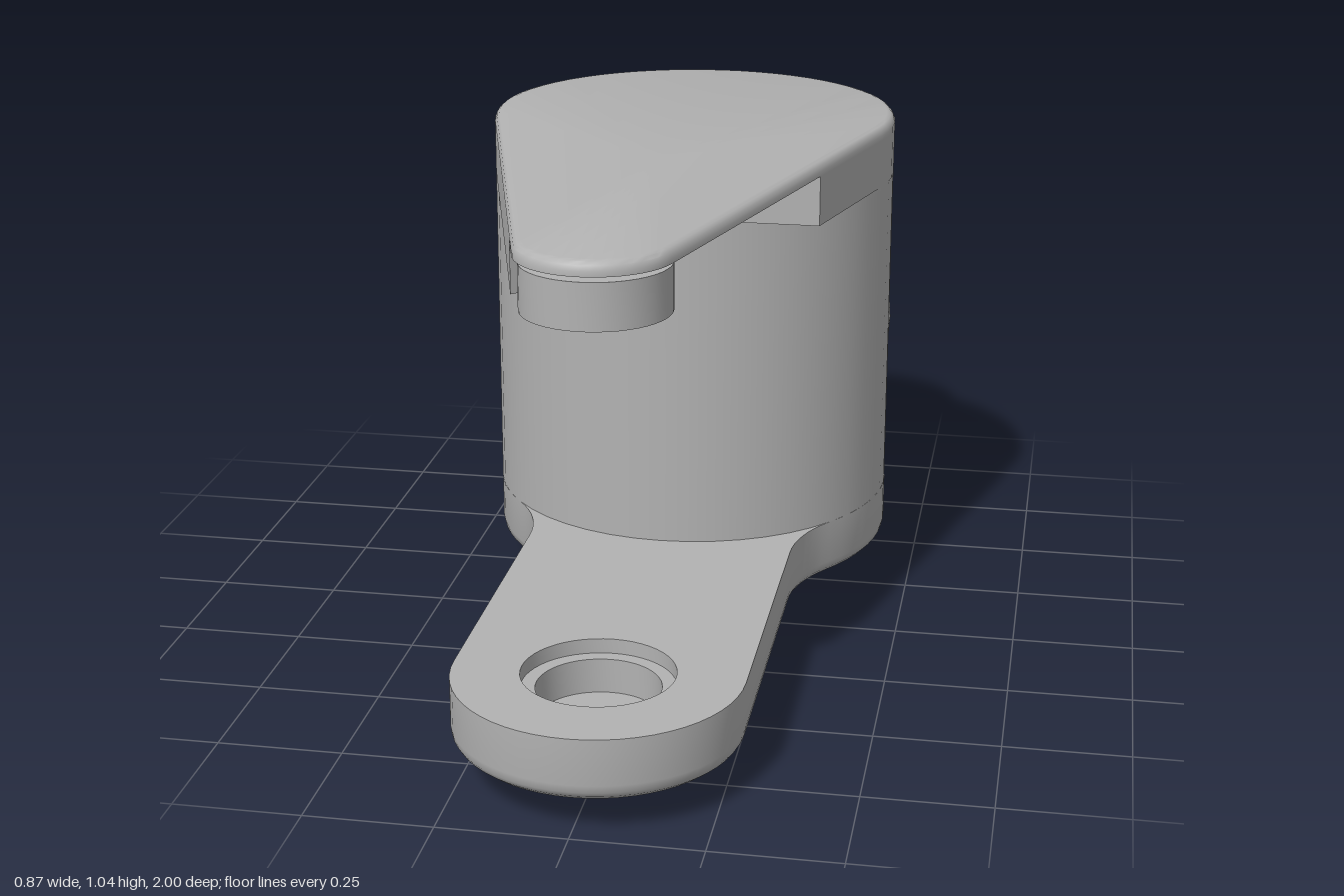
import * as THREE from 'three';
import { toCreasedNormals } from 'three/addons/utils/BufferGeometryUtils.js';

const BODY_Z = -0.37, BODY_R = 0.435; // main barrel
const TIP_Z = 0.71, TIP_R = 0.15; // nose of the cap
const PIN_Z = 0.72, TONGUE_R = 0.28; // rounded end of the base tongue
const MID_Y = 0.555; // axis of the rear neck
const SLANT = Math.asin((BODY_R - TIP_R) / (TIP_Z - BODY_Z));

// Points on an arc in plan; plan coordinates are (x, -z)
function arc(cx, cy, r, a0, a1, n) {
  return Array.from({ length: n + 1 }, (_, i) => {
    const a = a0 + ((a1 - a0) * i) / n;
    return new THREE.Vector2(cx + r * Math.cos(a), cy + r * Math.sin(a));
  });
}

// Skin over closed rings of equal point count, counter-clockwise about their axis
function loft(rings) {
  const n = rings[0].length, index = [];
  for (let k = 0; k < rings.length - 1; k++) {
    for (let i = 0; i < n; i++) {
      const j = (i + 1) % n, a = k * n + i, b = k * n + j;
      index.push(a, b, b + n, a, b + n, a + n);
    }
  }
  const geo = new THREE.BufferGeometry();
  geo.setAttribute('position', new THREE.Float32BufferAttribute(rings.flat(2), 3));
  geo.setIndex(index);
  return toCreasedNormals(geo, 0.6);
}

// Upright slab from a plan shape
function slab(shape, y0, y1) {
  const geo = new THREE.ExtrudeGeometry(shape, { depth: y1 - y0, bevelEnabled: false, curveSegments: 24 });
  geo.rotateX(-Math.PI / 2).translate(0, y0, 0);
  return toCreasedNormals(geo, 0.6);
}

function lathe(points, segments = 48) {
  return toCreasedNormals(new THREE.LatheGeometry(points.map(p => new THREE.Vector2(...p)), segments), 0.6);
}

function circleHole(x, y, r) {
  return new THREE.Path().absarc(x, y, r, 0, Math.PI * 2, true);
}

function teardrop(inset) {
  return [
    ...arc(0, -BODY_Z, BODY_R - inset, -SLANT, Math.PI + SLANT, 36),
    ...arc(0, -TIP_Z, TIP_R - inset, Math.PI + SLANT, 2 * Math.PI - SLANT, 20),
  ];
}

// Right half of the base outline from nose to back: { x, z, spine z }
function baseHalf() {
  const f = 0.3, cx = TONGUE_R + f;
  const dz = Math.sqrt((BODY_R + f) ** 2 - cx ** 2), cz = BODY_Z + dz;
  const sweep = Math.atan2(dz, cx), half = [];
  for (let i = 0; i <= 14; i++) {
    const a = (i / 14) * Math.PI / 2;
    half.push({ x: TONGUE_R * Math.sin(a), z: PIN_Z + TONGUE_R * Math.cos(a), s: PIN_Z });
  }
  for (let i = 1; i < 8; i++) {
    const z = PIN_Z + ((cz - PIN_Z) * i) / 8;
    half.push({ x: TONGUE_R, z, s: z });
  }
  for (let i = 0; i < 8; i++) {
    const a = (sweep * i) / 8;
    half.push({ x: cx - f * Math.cos(a), z: cz - f * Math.sin(a), s: cz + ((BODY_Z - cz) * i) / 8 });
  }
  for (let i = 0; i <= 24; i++) {
    const a = sweep - ((sweep + Math.PI / 2) * i) / 24;
    half.push({ x: BODY_R * Math.cos(a), z: BODY_Z + BODY_R * Math.sin(a), s: BODY_Z });
  }
  return half;
}

export function createModel() {
  const grey = new THREE.MeshStandardMaterial({ color: 0xb2b2b2, side: THREE.DoubleSide });
  grey.name = 'grey';
  const group = new THREE.Group();
  const add = (name, geo, x = 0, y = 0, z = 0) => {
    const mesh = new THREE.Mesh(geo, grey);
    mesh.name = name;
    mesh.position.set(x, y, z);
    group.add(mesh);
  };

  // Base: barrel foot with a tongue and a dished underside
  const half = baseHalf();
  const outline = [...half, ...half.slice(1, -1).reverse().map(p => ({ ...p, x: -p.x }))];
  const ring = (k, y) => outline.map(p => [p.x * k, y, p.s + (p.z - p.s) * k]);
  const dish = [0, 0.2, 0.4, 0.55, 0.7, 0.82, 0.92].map(k => ring(k, 0.085 * k * k));
  add('base', loft([...dish, ring(0.97, 0.083), ring(0.992, 0.093), ring(1, 0.108), ring(1, 0.2)]));

  // Flat top of the base, opened for the socket
  const topShape = new THREE.Shape(outline.map(p => new THREE.Vector2(p.x, -p.z)));
  topShape.holes.push(circleHole(0, -PIN_Z, 0.148));
  add('baseTop', new THREE.ShapeGeometry(topShape, 24).rotateX(-Math.PI / 2), 0, 0.2, 0);
  add('baseSocket', lathe([[0.148, 0.2], [0.148, 0.17], [0.12, 0.17], [0.12, 0.1], [0, 0.1]]), 0, 0, PIN_Z);

  // Barrel
  add('barrel', new THREE.CylinderGeometry(BODY_R, BODY_R, 0.71, 48, 1, true), 0, 0.555, BODY_Z);

  // Rear neck: a round mouth that widens into the barrel
  const neck = [[-0.97, 0.355], [-0.93, 0.35], [-0.86, 0.349], [-0.8, 0.355], [-0.74, 0.37],
    [-0.67, 0.392], [-0.58, 0.415], [-0.48, 0.43], [-0.38, 0.433]];
  add('neck', loft(neck.map(([z, rx]) =>
    arc(0, 0, 1, 0, 2 * Math.PI, 56).slice(0, -1).map(p => [p.x * rx, MID_Y + p.y * 0.352, z]))));
  const mouth = lathe([[0.34, 0.968], [0.358, 0.968], [0.358, 1], [0.11, 1], [0.11, 0.92], [0, 0.92]], 56);
  add('neckMouth', mouth.rotateX(-Math.PI / 2), 0, MID_Y, 0);

  // Cap plate with a softened top edge
  const capRing = (inset, y) => teardrop(inset).map(p => [p.x, y, -p.y]);
  const centre = y => capRing(0, y).map(() => [0, y, 0.1]);
  add('capPlate', loft([centre(1.012), capRing(0, 1.012), capRing(0, 1.022), capRing(0.004, 1.032),
    capRing(0.01, 1.038), capRing(0.018, 1.04), centre(1.04)]));

  // Cap skirt: thick over the barrel, running forward on one side only
  const edgeX = z => (BODY_R / Math.cos(SLANT)) - (z - BODY_Z) * Math.tan(SLANT);
  const v = (x, z) => new THREE.Vector2(x, -z);
  const skirt = new THREE.Shape([
    ...arc(0, -BODY_Z, BODY_R, -SLANT, Math.PI + SLANT, 36),
    v(-edgeX(0.65), 0.65), v(-0.12, 0.6), v(-0.05, 0.45), v(-0.04, 0.36), v(-0.02, 0.25), v(0, 0.08),
    v(edgeX(0.08), 0.08),
  ]);
  add('capSkirt', slab(skirt, 0.91, 1.012));

  // Pin eye under the nose, curving into the skirt
  const curve = new THREE.SplineCurve([v(0.134, 0.67), v(0.1, 0.605), v(0.02, 0.56), v(-0.03, 0.51), v(-0.05, 0.45)]);
  const eye = new THREE.Shape([
    ...arc(0, -TIP_Z, 0.14, Math.PI, 2 * Math.PI + 0.15, 24),
    ...curve.getPoints(16),
    v(-0.2, 0.45), v(-0.15, 0.64),
  ]);
  eye.holes.push(circleHole(0, -TIP_Z, 0.055));
  add('pinEye', slab(eye, 0.91, 1.0));

  return group;
}
